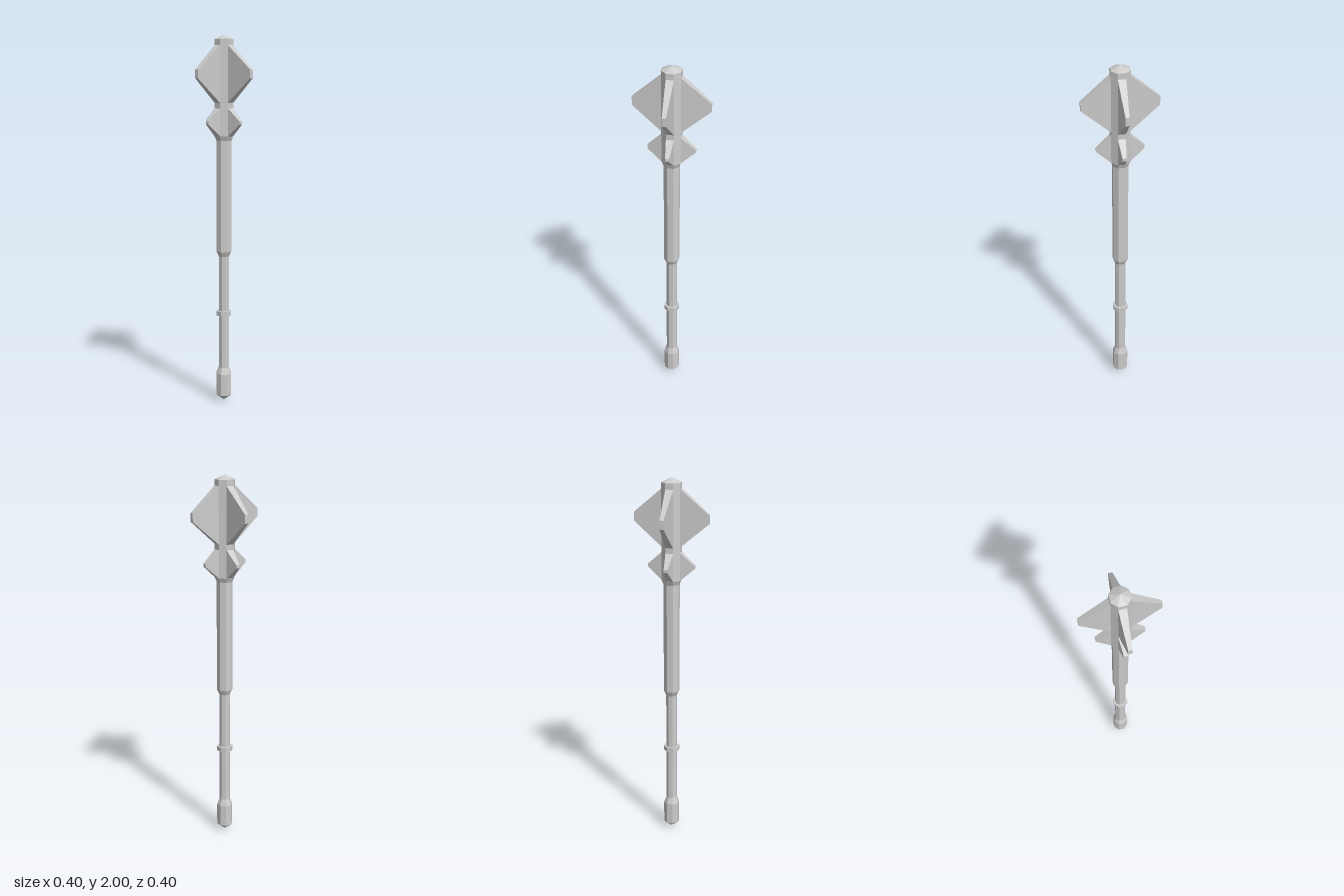
import * as THREE from 'three';

const material = new THREE.MeshStandardMaterial({ color: 0xcccccc, flatShading: true });
const APOTHEM = Math.cos(Math.PI / 8);

// Eight-sided turned part; profile is [distance to flat side, height], bottom to top
function octagonal(name, profile) {
  const points = profile.map(([r, y]) => new THREE.Vector2(r / APOTHEM, y));
  const mesh = new THREE.Mesh(new THREE.LatheGeometry(points, 8, Math.PI / 8), material);
  mesh.name = name;
  return mesh;
}

// Blade profile extruded, then thinned linearly from root to tip
function flangeGeometry(root, tip, [rootLow, tipLow, tipHigh, rootHigh]) {
  const shape = new THREE.Shape([
    new THREE.Vector2(root, rootLow), new THREE.Vector2(tip, tipLow),
    new THREE.Vector2(tip, tipHigh), new THREE.Vector2(root, rootHigh),
  ]);
  const geometry = new THREE.ExtrudeGeometry(shape, { depth: 1, bevelEnabled: false });
  const pos = geometry.attributes.position;
  for (let i = 0; i < pos.count; i++) {
    const t = (pos.getX(i) - root) / (tip - root);
    pos.setZ(i, (pos.getZ(i) - 0.5) * 2 * THREE.MathUtils.lerp(0.0207, 0.01, t));
  }
  geometry.computeVertexNormals();
  return geometry;
}

export function createModel() {
  const group = new THREE.Group();
  group.name = 'mace';

  group.add(
    octagonal('pommel', [[0, 0], [0.04, 0.033], [0.04, 0.155], [0.028, 0.19]]),
    octagonal('grip', [[0.028, 0.19], [0.028, 0.815]]),
    octagonal('gripRing', [[0.028, 0.485], [0.04, 0.485], [0.04, 0.51], [0.028, 0.51]]),
    octagonal('shaft', [[0.028, 0.815], [0.04, 0.842], [0.04, 1.443]]),
    octagonal('headCore', [[0.04, 1.443], [0.05, 1.467], [0.05, 1.977], [0, 2]]),
  );

  // Four large and four small flanges around the head
  const large = flangeGeometry(0.05, 0.2, [1.645, 1.772, 1.817, 1.945]);
  const small = flangeGeometry(0.05, 0.125, [1.468, 1.533, 1.549, 1.616]);
  for (const [name, geometry] of [['largeFlange', large], ['smallFlange', small]]) {
    for (let i = 0; i < 4; i++) {
      const flange = new THREE.Mesh(geometry, material);
      flange.name = name;
      flange.rotation.y = i * Math.PI / 2;
      group.add(flange);
    }
  }
  return group;
}
